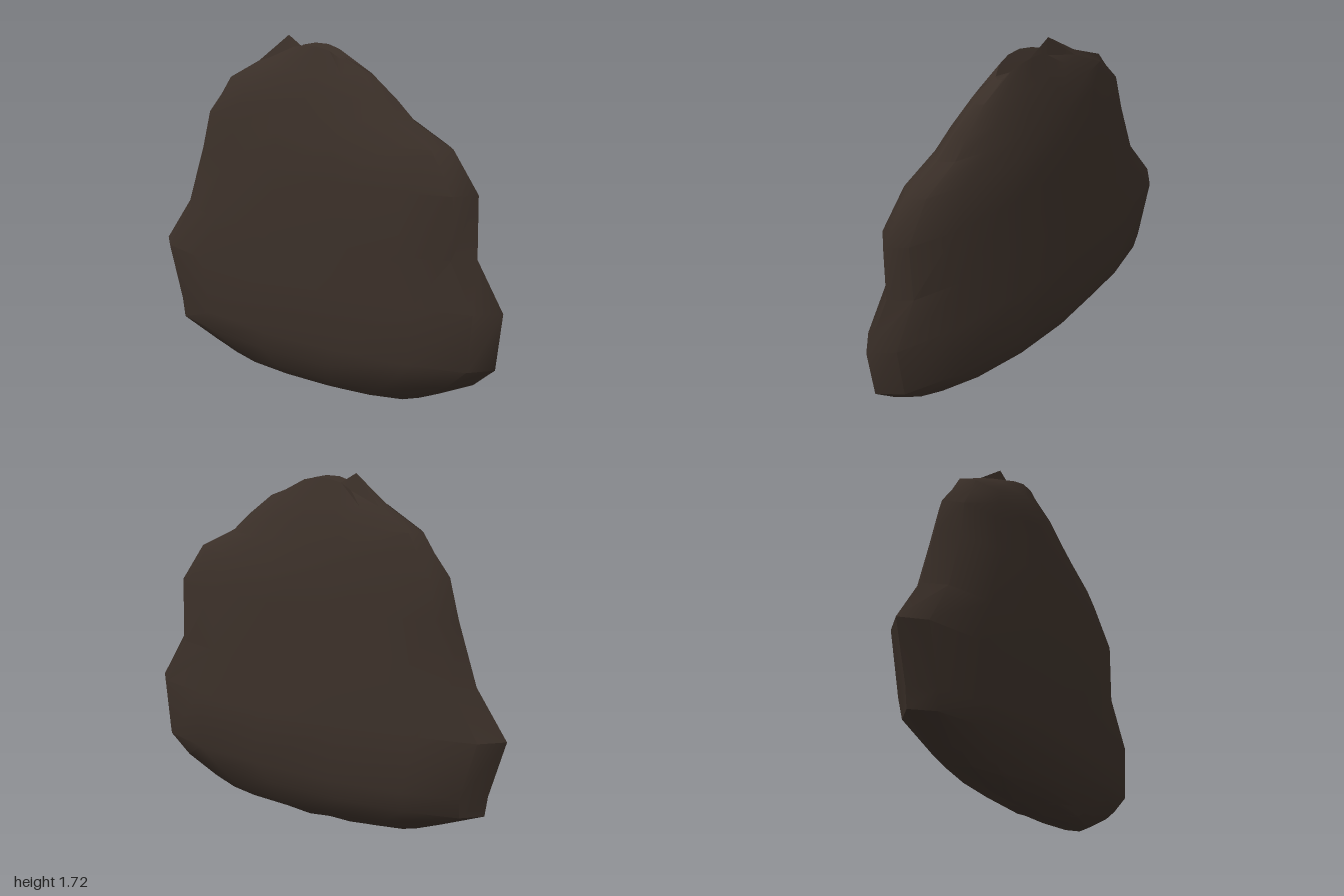
import * as THREE from 'three';
import { toCreasedNormals } from 'three/addons/utils/BufferGeometryUtils.js';

// Horizontal rings, bottom to top: [y, left-hand x, right-hand x, back z, front z]
const RINGS = [
  [0.012, -0.2, 0.2, -0.04, 0.06],
  [0.05, -0.55, 0.57, -0.11, 0.14],
  [0.1, -0.68, 0.68, -0.165, 0.175],
  [0.19, -0.9, 0.86, -0.205, 0.22],
  [0.29, -0.915, 0.97, -0.24, 0.24],
  [0.57, -1, 1, -0.23, 0.238],
  [0.8, -0.84, 0.86, -0.205, 0.22],
  [1.1, -0.74, 0.855, -0.19, 0.215],
  [1.29, -0.69, 0.72, -0.158, 0.178],
  [1.39, -0.61, 0.52, -0.135, 0.16],
  [1.48, -0.55, 0.42, -0.115, 0.138],
  [1.58, -0.37, 0.29, -0.08, 0.105],
  [1.67, -0.19, 0.14, -0.04, 0.06],
];
const SIDES = 14;

function rockGeometry() {
  const position = [], index = [];
  const top = RINGS.length - 1;
  RINGS.forEach(([y, x0, x1, z0, z1], r) => {
    for (let i = 0; i < SIDES; i++) {
      const a = (i / SIDES) * Math.PI * 2, c = Math.cos(a), s = Math.sin(a);
      // Gentle unevenness on the broad faces, none on the outline
      const dent = 1 - 0.05 * Math.abs(c * s) * (1 + Math.sin(r * 2.3 + i * 1.7));
      const x = (x0 + x1) / 2 + c * (x1 - x0) / 2;
      const z = s * (s > 0 ? z1 : -z0) * dent;
      // Ragged crown: front and back lips and a peak on one end
      let lift = 0;
      if (r === top) lift = i === SIDES / 2 ? 0.05 : Math.abs(s) > 0.9 ? 0.02 : Math.abs(s) > 0.7 ? 0.005 : -0.03;
      if (r === 0) lift = 0.008 * Math.sin(i * 2.1);
      position.push(x, y + lift, z);
    }
  });
  for (let r = 0; r < top; r++) {
    for (let i = 0; i < SIDES; i++) {
      const j = (i + 1) % SIDES;
      const a = r * SIDES + i, b = r * SIDES + j, c = a + SIDES, d = b + SIDES;
      index.push(a, c, b, b, c, d);
    }
  }
  // Shallow hollow in the crown and a closed underside
  const bottomCentre = position.length / 3, topCentre = bottomCentre + 1;
  position.push(0, 0.015, 0.01, -0.02, 1.62, 0.01);
  for (let i = 0; i < SIDES; i++) {
    const j = (i + 1) % SIDES;
    index.push(bottomCentre, i, j, topCentre, top * SIDES + j, top * SIDES + i);
  }
  const geometry = new THREE.BufferGeometry();
  geometry.setAttribute('position', new THREE.Float32BufferAttribute(position, 3));
  geometry.setIndex(index);
  return toCreasedNormals(geometry, 0.6);
}

export function createModel() {
  const group = new THREE.Group();
  group.name = 'flatRock';
  const rock = new THREE.Mesh(rockGeometry(), new THREE.MeshStandardMaterial({ color: 0x3a2f28 }));
  rock.name = 'rockBody';
  group.add(rock);
  return group;
}
